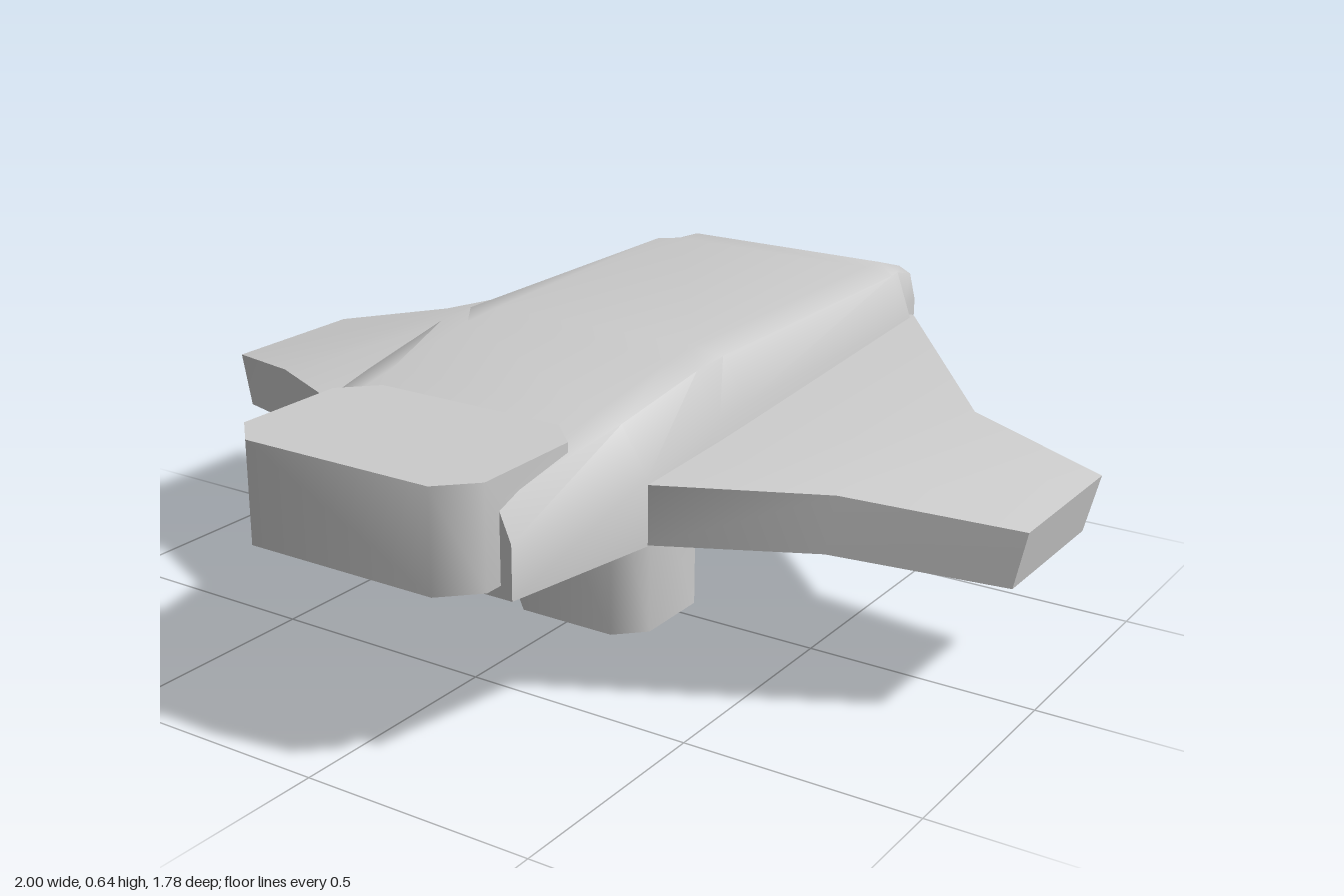
import * as THREE from 'three';
import { toCreasedNormals } from 'three/addons/utils/BufferGeometryUtils.js';

const material = new THREE.MeshStandardMaterial({ color: 0xcccccc });

function makeMesh(name, geometry) {
  const mesh = new THREE.Mesh(toCreasedNormals(geometry, 0.9), material);
  mesh.name = name;
  return mesh;
}

// Skins a list of equal-length rings and closes both ends.
function loft(rings) {
  const n = rings[0].length, last = (rings.length - 1) * n, index = [];
  for (let i = 0; i < rings.length - 1; i++) {
    for (let j = 0; j < n; j++) {
      const k = (j + 1) % n;
      const a = i * n + j, b = i * n + k, c = b + n, d = a + n;
      index.push(a, d, c, a, c, b);
    }
  }
  for (let j = 1; j < n - 1; j++) {
    index.push(0, j, j + 1, last, last + j + 1, last + j);
  }
  const geometry = new THREE.BufferGeometry();
  geometry.setAttribute('position', new THREE.Float32BufferAttribute(rings.flat(2), 3));
  geometry.setIndex(index);
  return geometry;
}

// Upright block with chamfered vertical corners.
function chamferedBlock(halfX, halfZ, chamfer, y0, y1, z) {
  const cx = halfX - chamfer, cz = halfZ - chamfer;
  const outline = [[halfX, -cz], [halfX, cz], [cx, halfZ], [-cx, halfZ],
    [-halfX, cz], [-halfX, -cz], [-cx, -halfZ], [cx, -halfZ]];
  const shape = new THREE.Shape(outline.map(([x, v]) => new THREE.Vector2(x, v)));
  return new THREE.ExtrudeGeometry(shape, { depth: y1 - y0, bevelEnabled: false })
    .rotateX(-Math.PI / 2).translate(0, y0, z);
}

export function createModel() {
  const model = new THREE.Group();

  // Hull stations, nose to tail: z, side x, shoulder y, roof edge x and y, roof x and y
  const stations = [
    [0.78, 0.31, 0.46, 0.28, 0.53, 0.24, 0.54],
    [0.43, 0.37, 0.49, 0.31, 0.585, 0.25, 0.595],
    [0.18, 0.375, 0.53, 0.32, 0.625, 0.25, 0.633],
    [0.08, 0.375, 0.54, 0.32, 0.63, 0.25, 0.64],
    [-0.67, 0.37, 0.54, 0.32, 0.63, 0.25, 0.64],
    [-0.74, 0.32, 0.54, 0.30, 0.62, 0.25, 0.638],
    [-0.85, 0.295, 0.53, 0.28, 0.59, 0.25, 0.605],
    [-0.89, 0.25, 0.50, 0.245, 0.56, 0.23, 0.575],
  ];
  const hullRings = stations.map(([z, w, shoulder, ex, ey, rx, ry]) => {
    const half = [[w, 0.35], [w, shoulder], [ex, ey], [rx, ry]];
    const other = half.map(([x, y]) => [-x, y]).reverse();
    return [...half, ...other].map(([x, y]) => [x, y, z]);
  });
  model.add(makeMesh('hull', loft(hullRings)));

  // Front block and supporting post
  model.add(makeMesh('noseBlock', chamferedBlock(0.285, 0.195, 0.07, 0.375, 0.585, 0.695)));
  model.add(makeMesh('post', chamferedBlock(0.175, 0.15, 0.06, 0, 0.4, 0.03)));

  // Wing ribs, root to tip: bottom front, top front, top rear, bottom rear
  const ribs = [
    [[0.3, 0.352, 0.43], [0.3, 0.475, 0.43], [0.3, 0.54, -0.69], [0.3, 0.39, -0.64]],
    [[0.37, 0.352, 0.43], [0.37, 0.475, 0.43], [0.37, 0.54, -0.69], [0.37, 0.385, -0.62]],
    [[0.67, 0.352, 0.28], [0.69, 0.475, 0.28], [0.70, 0.475, -0.31], [0.67, 0.355, -0.30]],
    [[0.975, 0.29, 0.10], [1, 0.41, 0.10], [1, 0.41, -0.265], [0.975, 0.29, -0.25]],
  ];
  const mirrored = ribs.map((rib) => rib.map(([x, y, z]) => [-x, y, z]).reverse());
  model.add(makeMesh('leftWing', loft(ribs)));
  model.add(makeMesh('rightWing', loft(mirrored)));

  return model;
}
